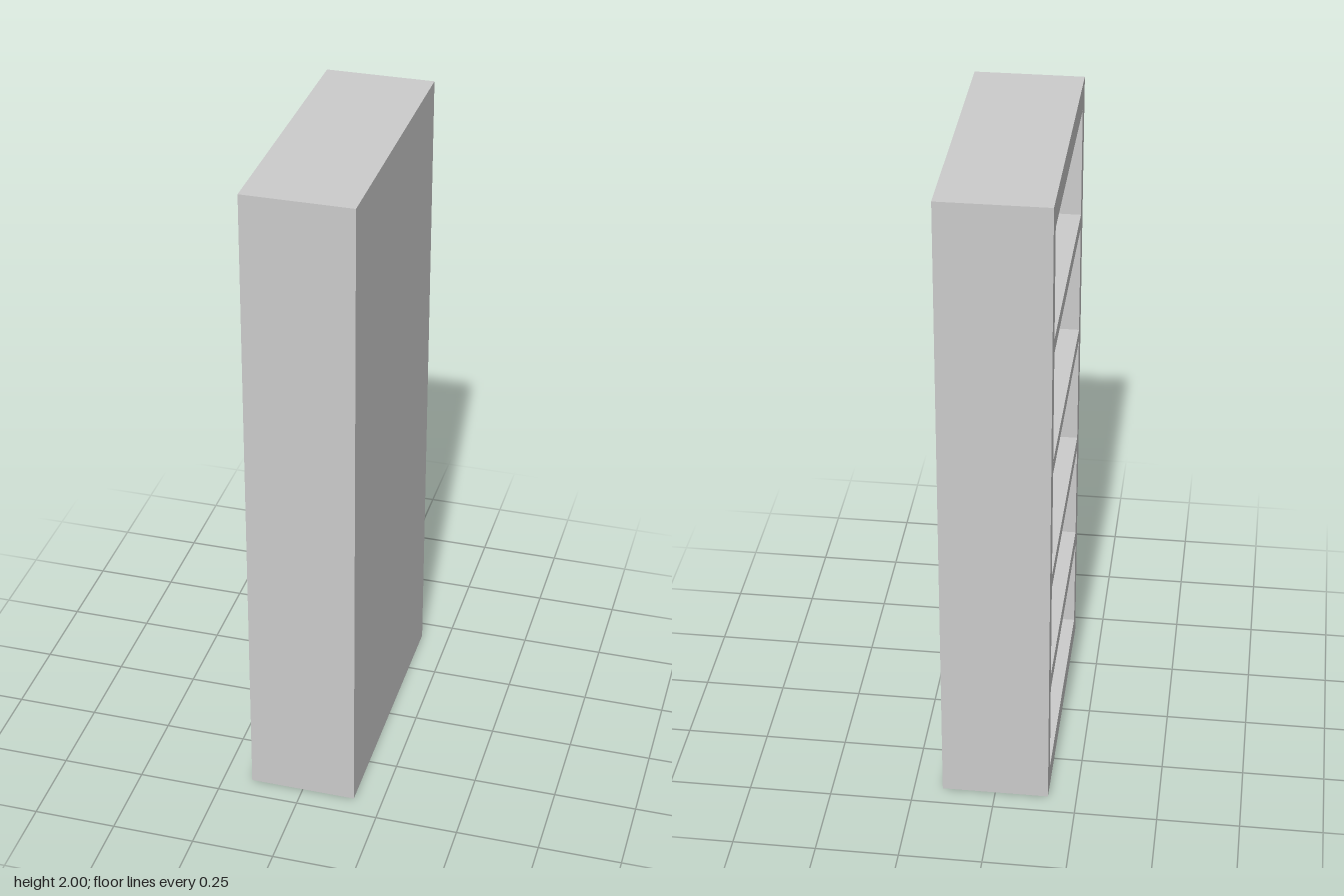
import * as THREE from 'three';

const WIDTH = 0.866, HEIGHT = 2, DEPTH = 0.325;
const WALL = 0.052, BACK = 0.067;
// bottom and top height of each compartment
const BAYS = [[0.076, 0.374], [0.428, 0.744], [0.79, 1.14], [1.182, 1.532], [1.577, 1.917]];

// traces a rectangle centred on the shape's vertical axis
function rect(path, halfWidth, bottom, top) {
  path.moveTo(-halfWidth, bottom);
  path.lineTo(halfWidth, bottom);
  path.lineTo(halfWidth, top);
  path.lineTo(-halfWidth, top);
  path.closePath();
  return path;
}

export function createModel() {
  const group = new THREE.Group();
  group.name = 'bookcase';
  const material = new THREE.MeshStandardMaterial({ color: 0xcccccc, flatShading: true });

  // sides, top, base and shelves as one frame, open towards -x
  const outline = rect(new THREE.Shape(), WIDTH / 2, 0, HEIGHT);
  for (const [bottom, top] of BAYS) {
    outline.holes.push(rect(new THREE.Path(), WIDTH / 2 - WALL, bottom, top));
  }
  const frameGeometry = new THREE.ExtrudeGeometry(outline, { depth: DEPTH - BACK, bevelEnabled: false });
  frameGeometry.rotateY(-Math.PI / 2);
  const frame = new THREE.Mesh(frameGeometry, material);
  frame.name = 'shelfFrame';
  frame.position.x = DEPTH / 2 - BACK;
  group.add(frame);

  // closed back panel on +x
  const back = new THREE.Mesh(new THREE.BoxGeometry(BACK, HEIGHT, WIDTH), material);
  back.name = 'backPanel';
  back.position.set(DEPTH / 2 - BACK / 2, HEIGHT / 2, 0);
  group.add(back);

  return group;
}
